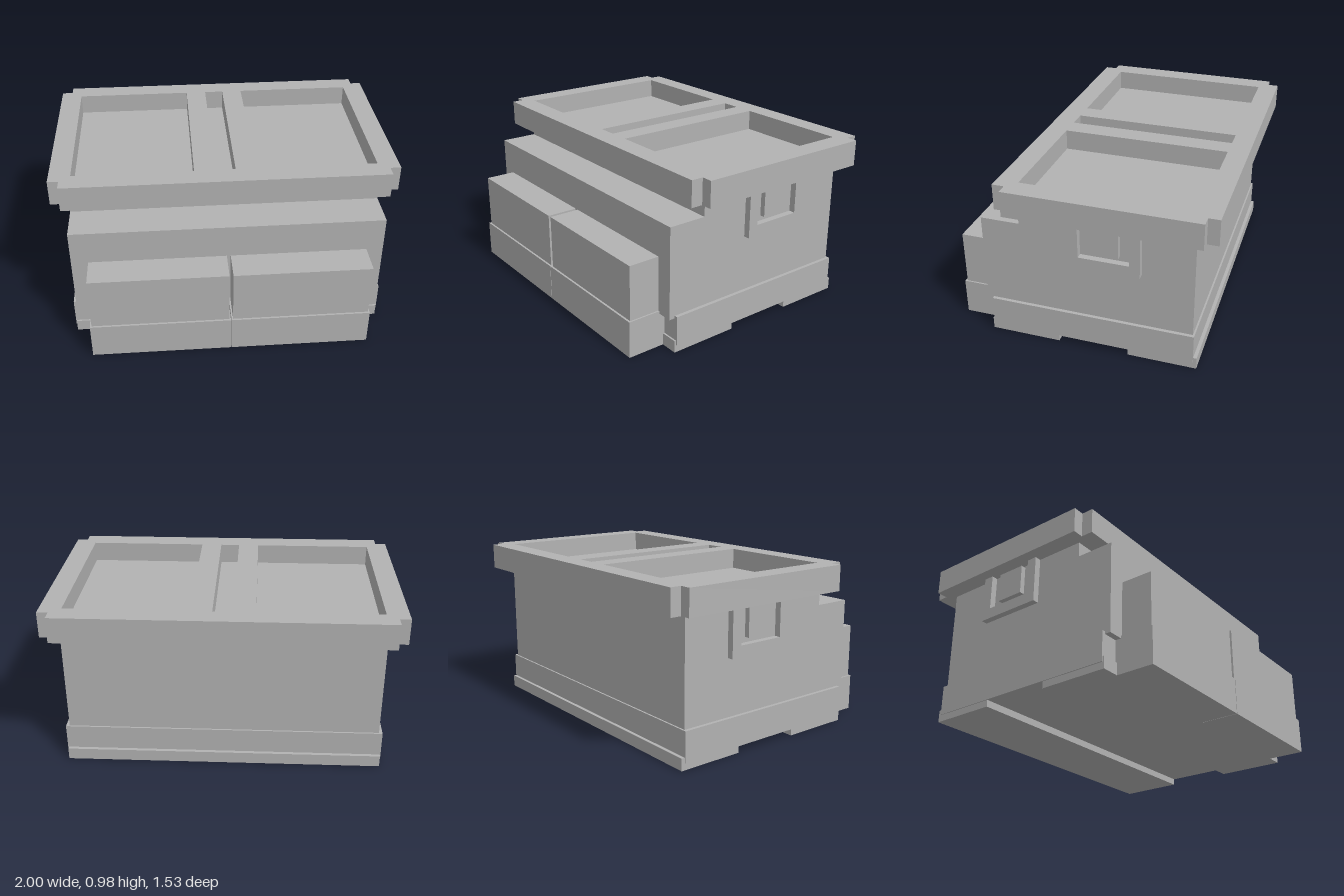
import * as THREE from 'three';

export function createModel() {
  const model = new THREE.Group();
  model.name = 'storageChest';
  const grey = new THREE.MeshStandardMaterial({ color: 0xb2b2b2 });
  grey.name = 'grey';

  const add = (name, geometry) => {
    const mesh = new THREE.Mesh(geometry, grey);
    mesh.name = name;
    model.add(mesh);
    return mesh;
  };
  // Box given by its limits on each axis
  const box = (name, [x0, x1], [y0, y1], [z0, z1]) => {
    const g = new THREE.BoxGeometry(x1 - x0, y1 - y0, z1 - z0);
    g.translate((x0 + x1) / 2, (y0 + y1) / 2, (z0 + z1) / 2);
    return add(name, g);
  };
  const outline = (pts) => new THREE.Shape(pts.map(([a, b]) => new THREE.Vector2(a, b)));
  // Side profile in (z, y), extruded along x between x0 and x1
  const profile = (name, pts, x0, x1) => {
    const g = new THREE.ExtrudeGeometry(outline(pts), { depth: x1 - x0, bevelEnabled: false });
    g.rotateY(-Math.PI / 2);
    g.translate(x1, 0, 0);
    return add(name, g);
  };

  // Body with a stepped front
  profile('body', [
    [-0.645, 0.2], [0.565, 0.2], [0.565, 0.735], [0.34, 0.735], [0.34, 0.825], [-0.645, 0.825],
  ], -0.9, 0.9);

  // Base band and the two feet below it
  box('baseBand', [-0.92, 0.92], [0.04, 0.215], [-0.655, 0.53]);
  box('frontFoot', [-0.915, 0.915], [0, 0.07], [0.13, 0.54]);
  box('backFoot', [-0.915, 0.915], [0, 0.07], [-0.675, -0.28]);

  // Front boxes, in two stacked pairs
  for (const s of [-1, 1]) {
    const side = s > 0 ? 'left' : 'right';
    const span = (a, b) => (s > 0 ? [a, b] : [-b, -a]);
    box(side + 'LowerBox', span(0.002, 0.812), [0, 0.215], [0.53, 0.762]);
    box(side + 'UpperBox', span(0.011, 0.803), [0.215, 0.535], [0.565, 0.75]);

    // Side handle: U-shaped frame around a small block
    profile(side + 'Handle', [
      [0.05, 0.825], [0.05, 0.545], [-0.355, 0.545], [-0.355, 0.825],
      [-0.295, 0.825], [-0.295, 0.61], [-0.01, 0.61], [-0.01, 0.825],
    ], ...span(0.9, 0.937));
    box(side + 'HandleBlock', span(0.9, 0.93), [0.64, 0.815], [-0.235, -0.065]);
  }

  // Lid with notched corners and three recesses
  const lid = outline([
    [-0.937, -0.46], [0.937, -0.46], [0.937, -0.39], [1, -0.39], [1, 0.7], [0.937, 0.7],
    [0.937, 0.765], [-0.937, 0.765], [-0.937, 0.7], [-1, 0.7], [-1, -0.39], [-0.937, -0.39],
  ]);
  for (const [a, b] of [[-0.875, -0.18], [-0.057, 0.057], [0.18, 0.875]]) {
    lid.holes.push(new THREE.Path([
      [a, -0.335], [a, 0.645], [b, 0.645], [b, -0.335],
    ].map(([x, y]) => new THREE.Vector2(x, y))));
    box('recessFloor', [a, b], [0.825, 0.855], [-0.645, 0.335]);
  }
  const lidGeometry = new THREE.ExtrudeGeometry(lid, { depth: 0.15, bevelEnabled: false });
  lidGeometry.rotateX(-Math.PI / 2);
  lidGeometry.translate(0, 0.825, 0);
  add('lid', lidGeometry);

  return model;
}
